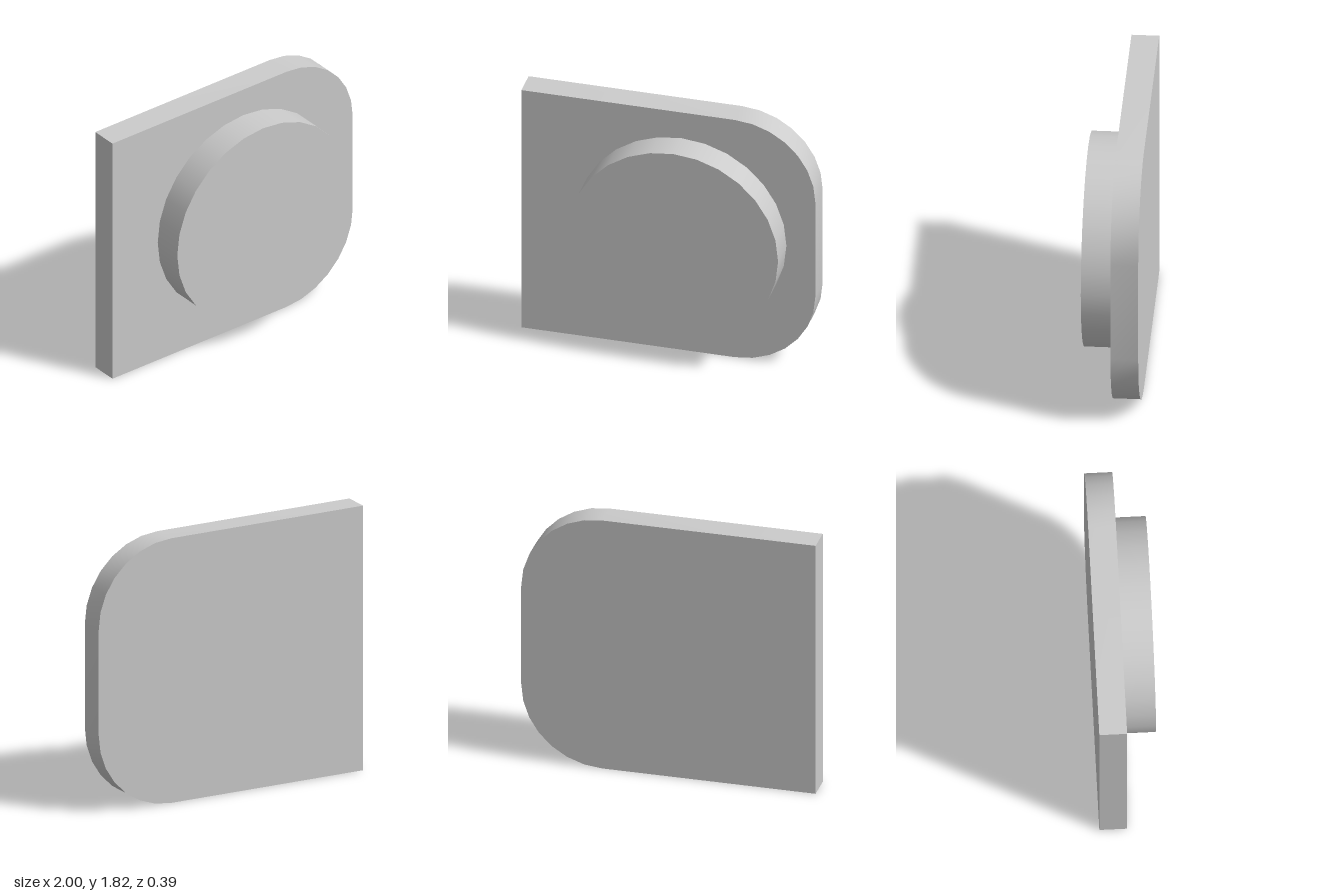
import * as THREE from 'three';
import { toCreasedNormals } from 'three/addons/utils/BufferGeometryUtils.js';

const HEIGHT = 1.82, CORNER = 0.55, CORNER_STEPS = 7;
const BACK = -0.196, FACE = -0.013, FRONT = 0.196;

// Points of a quarter-round corner, running counter-clockwise from startAngle
function cornerPoints(cx, cy, startAngle) {
  return Array.from({ length: CORNER_STEPS + 1 }, (_, i) => {
    const a = startAngle + (i / CORNER_STEPS) * Math.PI / 2;
    return new THREE.Vector2(cx + CORNER * Math.cos(a), cy + CORNER * Math.sin(a));
  });
}

export function createModel() {
  const group = new THREE.Group();
  const material = new THREE.MeshStandardMaterial({ color: 0xcccccc });

  // Plate: square on one side, two rounded corners on the other
  const outline = new THREE.Shape([
    new THREE.Vector2(-1, 0),
    ...cornerPoints(1 - CORNER, CORNER, -Math.PI / 2),
    ...cornerPoints(1 - CORNER, HEIGHT - CORNER, 0),
    new THREE.Vector2(-1, HEIGHT),
  ]);
  const plateGeometry = new THREE.ExtrudeGeometry(outline, { depth: FACE - BACK, bevelEnabled: false });
  const plate = new THREE.Mesh(toCreasedNormals(plateGeometry, 0.5), material);
  plate.name = 'plate';
  plate.position.z = BACK;
  group.add(plate);

  // Raised round boss on the front face
  const bossGeometry = new THREE.CylinderGeometry(0.713, 0.713, FRONT - FACE, 28);
  bossGeometry.rotateX(Math.PI / 2);
  const boss = new THREE.Mesh(bossGeometry, material);
  boss.name = 'boss';
  boss.position.set(0.09, HEIGHT / 2, (FRONT + FACE) / 2);
  group.add(boss);

  return group;
}
